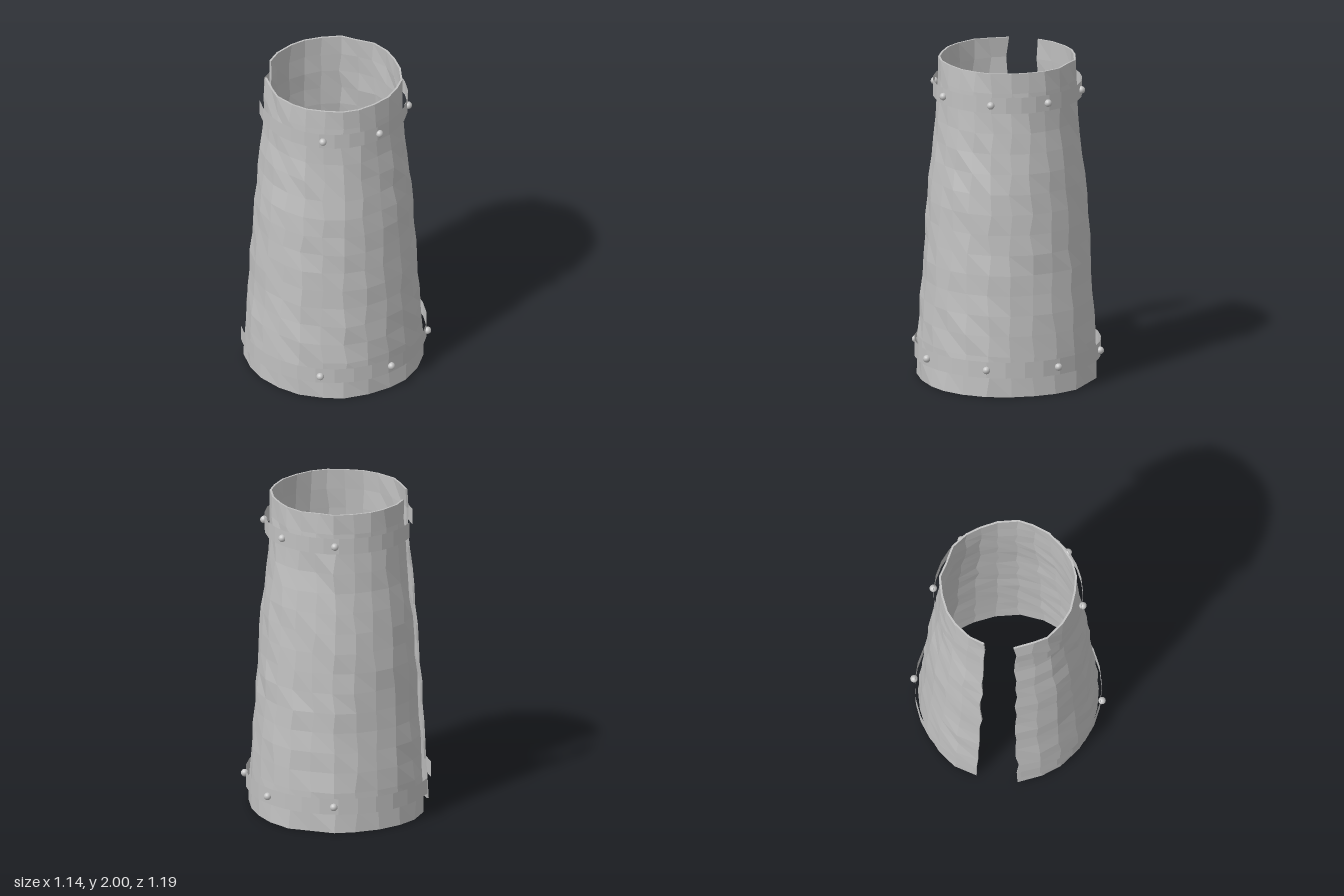
import * as THREE from 'three';

const CENTRE_X = -0.024;
const rad = THREE.MathUtils.degToRad;

// Small seeded generator for the hammered surface
function seeded(seed) {
  return () => {
    seed = (seed * 16807) % 2147483647;
    return seed / 2147483647 - 0.5;
  };
}

// Outer radius at heights 0, 0.2, ... 2
const PROFILE = [0.546, 0.541, 0.529, 0.515, 0.503, 0.491, 0.477, 0.456, 0.434, 0.424, 0.418];
function radiusAt(y) {
  const k = Math.min(Math.floor(y / 0.2), PROFILE.length - 2);
  return THREE.MathUtils.lerp(PROFILE[k], PROFILE[k + 1], y / 0.2 - k);
}

// Tapered, dented sheet with an inner and outer face, open along -x
function shellGeometry() {
  const random = seeded(4127);
  const columns = 22, rows = 16, thickness = 0.012, loop = 2 * (rows + 1);
  const positions = [], indices = [];
  for (let i = 0; i <= columns; i++) {
    const ridge = random() * 0.014;
    const outer = [], inner = [];
    for (let j = 0; j <= rows; j++) {
      const y = (2 * j) / rows;
      const a = rad(-167 + (334 * i) / columns + random() * 3);
      const r = radiusAt(y) + ridge + random() * 0.012;
      outer.push([CENTRE_X + r * Math.cos(a), y, r * Math.sin(a)]);
      inner.unshift([CENTRE_X + (r - thickness) * Math.cos(a), y, (r - thickness) * Math.sin(a)]);
    }
    positions.push(...outer.flat(), ...inner.flat());
  }
  const quad = (a, b, c, d) => indices.push(a, b, c, a, c, d);
  for (let i = 0; i < columns; i++) {
    for (let j = 0; j < loop; j++) {
      const k = (j + 1) % loop, p = i * loop, q = p + loop;
      quad(p + j, p + k, q + k, q + j);
    }
  }
  // Strips closing the two sides of the opening
  const last = columns * loop;
  for (let j = 0; j < rows; j++) {
    const n = loop - 1 - j;
    quad(j, n, n - 1, j + 1);
    quad(last + j, last + j + 1, last + n - 1, last + n);
  }
  const geometry = new THREE.BufferGeometry();
  geometry.setAttribute('position', new THREE.Float32BufferAttribute(positions, 3));
  geometry.setIndex(indices);
  geometry.computeVertexNormals();
  return geometry;
}

export function createModel() {
  const group = new THREE.Group();
  const steel = new THREE.MeshStandardMaterial({ color: 0xc0c0c0 });
  steel.name = 'steel';
  steel.flatShading = true;
  steel.side = THREE.DoubleSide;
  const rivetSteel = new THREE.MeshStandardMaterial({ color: 0xc4c4c4 });
  rivetSteel.name = 'rivet steel';

  const shell = new THREE.Mesh(shellGeometry(), steel);
  shell.name = 'shell';
  group.add(shell);

  // Thin straps with five rivets each
  const rivetGeometry = new THREE.SphereGeometry(0.023, 16, 12);
  const straps = [
    { name: 'lowerStrap', y: 0.175, r: 0.567, rivetR: 0.574 },
    { name: 'upperStrap', y: 1.81, r: 0.453, rivetR: 0.457 },
  ];
  for (const { name, y, r, rivetR } of straps) {
    const strap = new THREE.Group();
    strap.name = name;
    strap.position.set(CENTRE_X, y, 0);
    const band = new THREE.Mesh(
      new THREE.CylinderGeometry(r, r, 0.1, 28, 1, true, rad(90 - 165), rad(330)), steel);
    band.name = name + 'Band';
    strap.add(band);
    for (const degrees of [-91.3, -45.5, 0, 45.5, 91.3]) {
      const rivet = new THREE.Mesh(rivetGeometry, rivetSteel);
      rivet.name = 'rivet';
      rivet.position.set(rivetR * Math.cos(rad(degrees)), 0, rivetR * Math.sin(rad(degrees)));
      strap.add(rivet);
    }
    group.add(strap);
  }
  return group;
}
